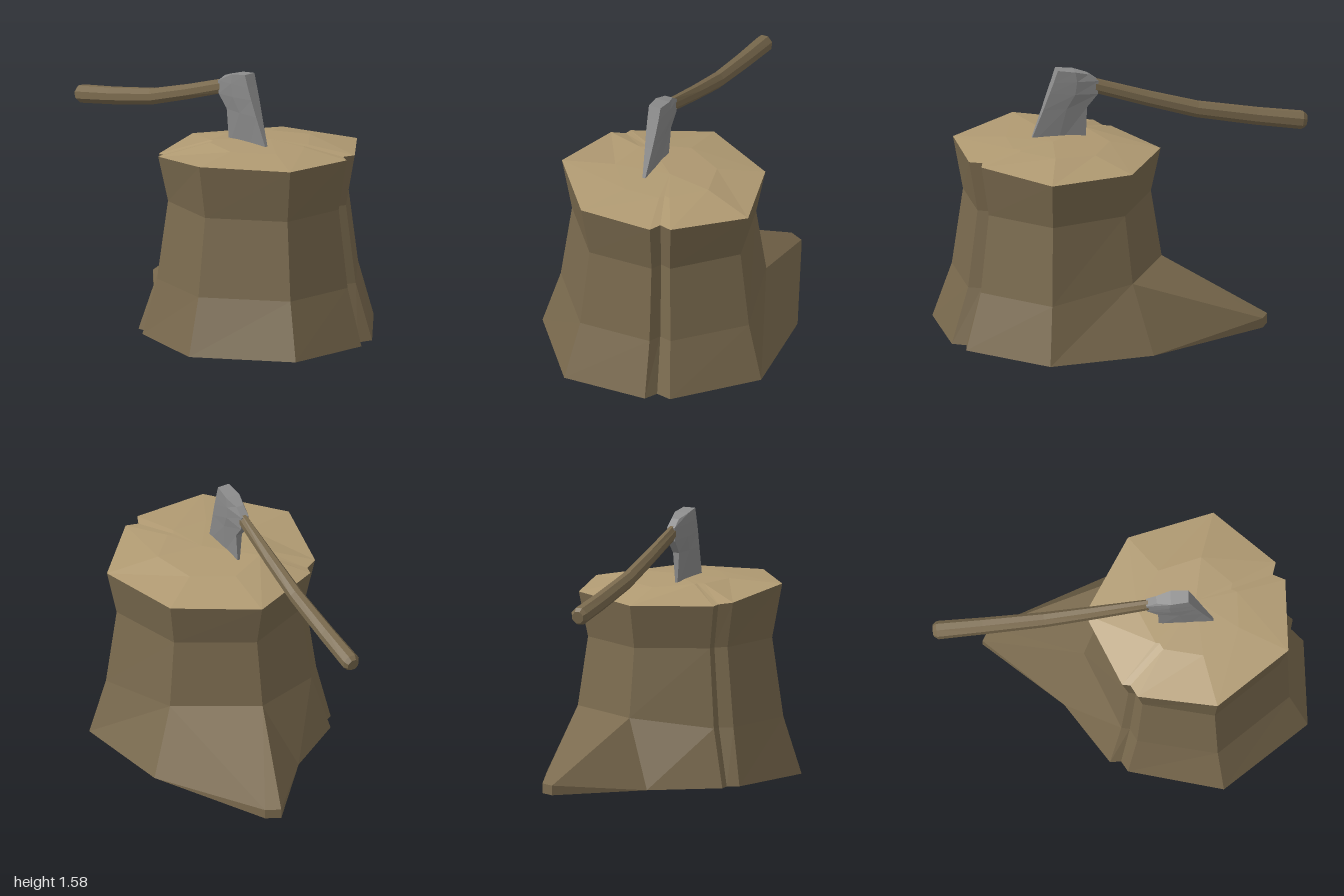
import * as THREE from 'three';

const material = (color) => new THREE.MeshStandardMaterial({ color, flatShading: true, side: THREE.DoubleSide });

// Skin a list of closed rings (counter-clockwise about the lofting direction), skipping collapsed triangles.
function loft(rings, capStart, capEnd) {
  const out = [];
  const tri = (a, b, c) => {
    const n = new THREE.Vector3().subVectors(b, a).cross(new THREE.Vector3().subVectors(c, a));
    if (n.length() > 1e-7) for (const p of [a, b, c]) out.push(p.x, p.y, p.z);
  };
  const n = rings[0].length;
  for (let r = 0; r < rings.length - 1; r++) {
    for (let i = 0; i < n; i++) {
      const j = (i + 1) % n, lo = rings[r], hi = rings[r + 1];
      tri(lo[i], lo[j], hi[j]);
      tri(lo[i], hi[j], hi[i]);
    }
  }
  const cap = (ring, centre, flip) => ring.forEach((p, i) => {
    const q = ring[(i + 1) % n];
    flip ? tri(centre, q, p) : tri(centre, p, q);
  });
  if (capStart) cap(rings[0], capStart, true);
  if (capEnd) cap(rings[rings.length - 1], capEnd, false);
  const geometry = new THREE.BufferGeometry();
  geometry.setAttribute('position', new THREE.Float32BufferAttribute(out, 3));
  geometry.computeVertexNormals();
  return geometry;
}

const v = (x, y, z) => new THREE.Vector3(x, y, z);

function part(name, geometry, mat) {
  const mesh = new THREE.Mesh(geometry, mat);
  mesh.name = name;
  return mesh;
}

export function createModel() {
  const model = new THREE.Group();
  model.name = 'stumpWithAxe';
  const bark = material(0x7a6a4e), cutWood = material(0xb09a72), steel = material(0x8c8c8c);

  // Stump outline at the rim (x, y, z), with a crack on each side;
  // the two back corners are doubled so a root can grow between them
  const rim = [
    [0.07, 1.135, 0.70], [0.615, 1.13, 0.67], [0.87, 1.12, 0.30], [0.83, 1.12, 0.23], [0.89, 1.12, 0.18],
    [0.79, 1.09, -0.30], [0.295, 1.08, -0.48], [0.295, 1.08, -0.48], [-0.195, 1.07, -0.25], [-0.195, 1.07, -0.25],
    [-0.285, 1.07, 0.235], [-0.25, 1.075, 0.27], [-0.26, 1.085, 0.355],
  ].map((p) => v(...p));
  // Matching outline on the ground (x, z); entries 7 and 8 are the root tip
  const foot = [
    [0.035, 0.81], [0.675, 0.78], [0.97, 0.345], [0.93, 0.265], [1.0, 0.20],
    [0.875, -0.365], [0.31, -0.67], [-0.475, -0.815], [-0.56, -0.77], [-0.40, -0.18],
    [-0.40, 0.27], [-0.345, 0.305], [-0.35, 0.38],
  ];
  const isTip = (i) => i === 7 || i === 8;
  const isBack = (i) => i >= 6 && i <= 9;
  const footRing = (tipY) => foot.map(([x, z], i) => v(x, isTip(i) ? tipY : 0, z));
  const scaled = (k, y) => rim.map((p, i) => v(0.31 + (p.x - 0.31) * k, y(i), 0.10 + (p.z - 0.10) * k));
  const rings = [
    footRing(0.012), footRing(0.07),
    scaled(1.01, (i) => (isBack(i) ? 0.40 : 0.34)),
    scaled(0.905, () => 0.81),
    rim,
  ];
  model.add(part('stumpBark', loft(rings, v(0.3, 0, 0.1)), bark));

  // Slightly domed cut surface
  const dome = scaled(0.5, (i) => (isBack(i) ? 1.135 : 1.155));
  model.add(part('stumpTop', loft([rim, dome], null, v(0.36, 1.165, 0.1)), cutWood));

  // Axe is built along x, then turned on the stump
  const axe = new THREE.Group();
  axe.name = 'axe';
  axe.rotation.y = -0.605;
  model.add(axe);

  // Head rows from cutting edge to poll: three stations of [x, y, half thickness]
  const rows = [
    [[0.13, 1.10, 0.004], [0.30, 1.10, 0.005], [0.475, 1.10, 0.004]],
    [[0.125, 1.33, 0.02], [0.25, 1.33, 0.03], [0.39, 1.33, 0.024]],
    [[0.06, 1.41, 0.025], [0.20, 1.42, 0.042], [0.355, 1.43, 0.032]],
    [[0.055, 1.49, 0.025], [0.19, 1.50, 0.046], [0.33, 1.50, 0.036]],
    [[0.115, 1.535, 0.024], [0.20, 1.56, 0.045], [0.305, 1.575, 0.038]],
  ];
  const headRings = rows.map((row) => [
    ...row.map(([x, y, t]) => v(x, y, t)),
    ...[...row].reverse().map(([x, y, t]) => v(x, y, -t)),
  ]);
  axe.add(part('axeHead', loft(headRings, v(0.30, 1.10, 0), v(0.20, 1.56, 0)), steel));

  // Curved handle stations: [x, y, half height, half width]
  const stations = [
    [-1.20, 1.145, 0.036, 0.036], [-1.175, 1.15, 0.052, 0.052], [-0.90, 1.195, 0.05, 0.047],
    [-0.54, 1.265, 0.047, 0.042], [-0.24, 1.355, 0.044, 0.036], [0.10, 1.465, 0.042, 0.027],
  ];
  const handleRings = stations.map(([x, y, h, w], k) => Array.from({ length: 8 }, (_, i) => {
    const a = ((i + 0.5) / 8) * Math.PI * 2;
    const lean = k < 2 ? 0.2 : 0.25;
    return v(x - Math.cos(a) * h * lean, y + Math.cos(a) * h * 1.05, Math.sin(a) * w * 1.05);
  }));
  axe.add(part('axeHandle', loft(handleRings, v(-1.20, 1.145, 0), v(0.10, 1.465, 0)), bark));

  return model;
}
